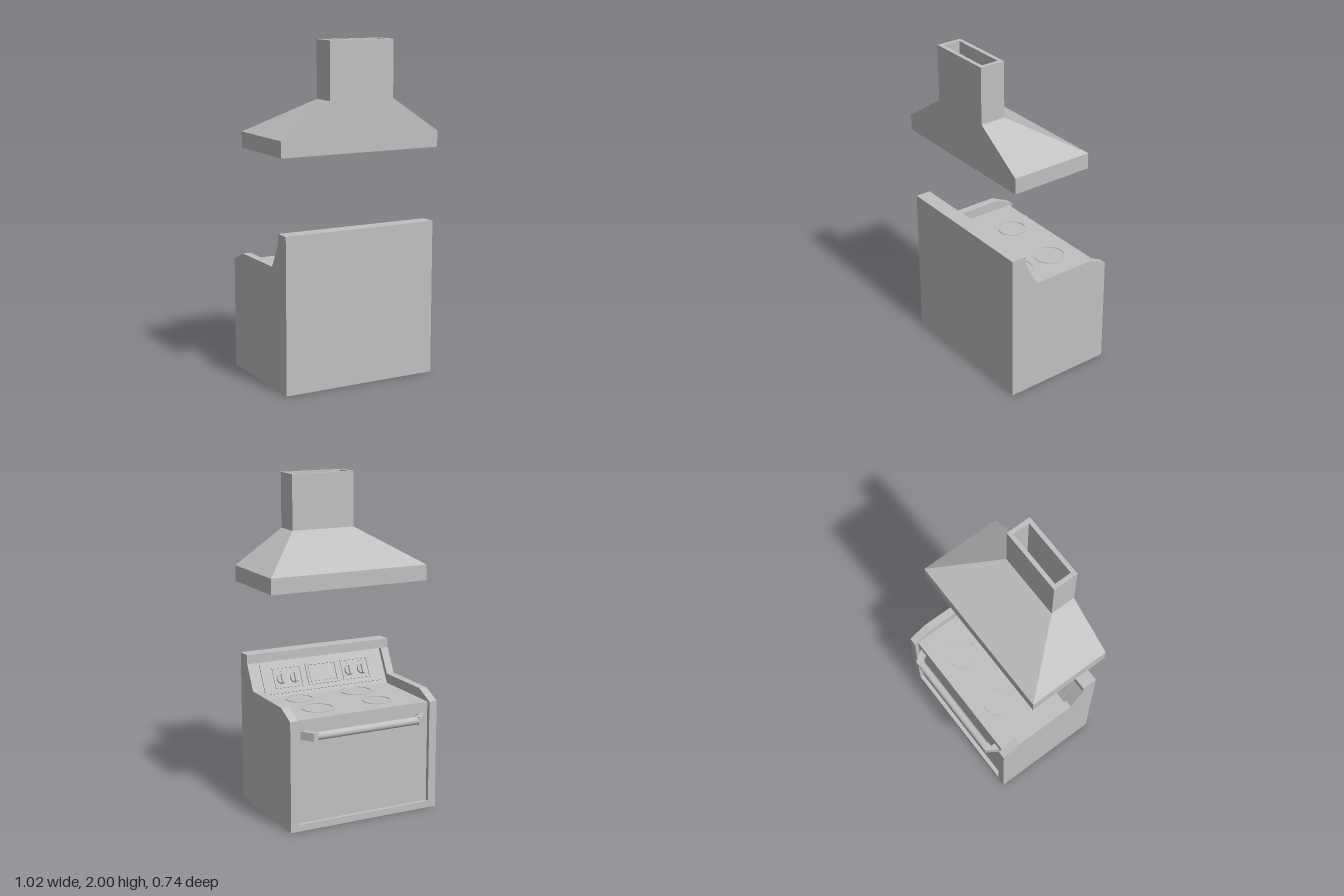
import * as THREE from 'three';

const steel = new THREE.MeshStandardMaterial({ color: 0xc0c0c0 });
steel.name = 'brushed steel grey';

function add(parent, name, geometry, x = 0, y = 0, z = 0) {
  const mesh = new THREE.Mesh(geometry, steel);
  mesh.name = name;
  mesh.position.set(x, y, z);
  parent.add(mesh);
  return mesh;
}

const shapeOf = (points) => new THREE.Shape(points.map(([a, b]) => new THREE.Vector2(a, b)));
const box = (w, h, d) => new THREE.BoxGeometry(w, h, d);

// Extrude a (z, y) outline sideways between two x positions
function sideways(points, x0, x1) {
  const g = new THREE.ExtrudeGeometry(shapeOf(points), { depth: x1 - x0, bevelEnabled: false });
  return g.rotateY(-Math.PI / 2).translate(x1, 0, 0);
}

// Flat rectangular frame facing +z
function frame(w, h, border, depth) {
  const rect = (a, b) => [[-a, -b], [a, -b], [a, b], [-a, b]];
  const s = shapeOf(rect(w / 2, h / 2));
  s.holes.push(new THREE.Path(shapeOf(rect(w / 2 - border, h / 2 - border)).getPoints()));
  return new THREE.ExtrudeGeometry(s, { depth, bevelEnabled: false });
}

// Skin through rectangular sections [y, x half width, back z, front z]
function loft(sections) {
  const pos = [];
  const ring = ([y, w, zb, zf]) => [[-w, y, zb], [w, y, zb], [w, y, zf], [-w, y, zf]];
  for (let s = 0; s < sections.length - 1; s++) {
    const a = ring(sections[s]), b = ring(sections[s + 1]);
    for (let i = 0; i < 4; i++) {
      const j = (i + 1) % 4;
      pos.push(...a[i], ...a[j], ...b[j], ...a[i], ...b[j], ...b[i]);
    }
  }
  const g = new THREE.BufferGeometry();
  g.setAttribute('position', new THREE.Float32BufferAttribute(pos, 3));
  g.computeVertexNormals();
  return g;
}

function buildRange() {
  const range = new THREE.Group();
  range.name = 'range';

  // Carcass with cooktop, sloped console and bottom rail
  add(range, 'carcass', sideways([
    [0.37, 0], [0.37, 0.87], [0.305, 0.87], [0.193, 0.66], [-0.287, 0.66],
    [-0.287, 0.04], [-0.32, 0.04], [-0.32, 0],
  ], -0.435, 0.435));
  add(range, 'ovenDoor', box(0.87, 0.62, 0.008), 0, 0.35, -0.291);
  add(range, 'backGuardCap', box(0.97, 0.055, 0.095), 0, 0.8975, 0.3225);

  // Side panels
  const side = [[0.37, 0], [0.37, 0.87], [0.275, 0.87], [0.195, 0.72],
    [-0.2, 0.72], [-0.32, 0.665], [-0.32, 0]];
  add(range, 'leftPanel', sideways(side, 0.435, 0.485));
  add(range, 'rightPanel', sideways(side, -0.485, -0.435));

  // Burner rings
  for (const [x, z, r] of [[-0.18, -0.13, 0.0875], [0.21, -0.115, 0.096],
    [0.215, 0.115, 0.086], [-0.17, 0.11, 0.096]]) {
    const ring = new THREE.Shape().absarc(0, 0, r, 0, Math.PI * 2);
    ring.holes.push(new THREE.Path().absarc(0, 0, r - 0.007, 0, Math.PI * 2, true));
    const g = new THREE.ExtrudeGeometry(ring, { depth: 0.004, bevelEnabled: false, curveSegments: 32 });
    add(range, 'burnerRing', g.rotateX(-Math.PI / 2), x, 0.66, z);
  }

  // Handle bar and its angled brackets
  add(range, 'doorHandle', new THREE.CylinderGeometry(0.024, 0.024, 0.67, 32).rotateZ(Math.PI / 2), 0, 0.57, -0.346);
  for (const s of [-1, 1]) {
    const outline = [[0.41, 0.295], [0.36, 0.37], [0.333, 0.37], [0.333, 0.322], [0.36, 0.322], [0.36, 0.295]];
    const g = new THREE.ExtrudeGeometry(shapeOf(outline.map(([x, z]) => [s * x, z])), { depth: 0.05, bevelEnabled: false });
    add(range, 'handleBracket', g.rotateX(-Math.PI / 2), 0, 0.545, 0);
  }

  // Control console, lying on the sloped back guard
  const panel = new THREE.Group();
  panel.name = 'controlPanel';
  panel.position.set(0, 0.765, 0.249);
  panel.rotation.set(-Math.atan2(0.112, 0.21), Math.PI, 0, 'YXZ');
  range.add(panel);
  add(panel, 'consolePlate', box(0.8, 0.19, 0.008), 0, 0, 0.004);
  add(panel, 'displayFrame', frame(0.21, 0.135, 0.012, 0.008), 0, 0, 0.008);
  add(panel, 'display', box(0.17, 0.095, 0.004), 0, 0, 0.01);
  for (const s of [-1, 1]) {
    add(panel, 'knobPlateFrame', frame(0.19, 0.13, 0.008, 0.006), s * 0.232, 0, 0.008);
    for (const d of [-0.044, 0.044]) {
      const x = s * 0.232 + d;
      add(panel, 'knob', new THREE.CylinderGeometry(0.03, 0.032, 0.01, 24).rotateX(Math.PI / 2), x, -0.008, 0.013);
      add(panel, 'knobGrip', box(0.012, 0.056, 0.014), x, -0.008, 0.024);
      add(panel, 'knobMark', box(0.014, 0.01, 0.004), x, 0.042, 0.01);
    }
  }
  return range;
}

function buildHood() {
  const hood = new THREE.Group();
  hood.name = 'rangeHood';

  // Shell: recessed underside, rim, slope, then hollow chimney
  add(hood, 'hoodShell', loft([
    [1.42, 0, 0.115, 0.115], [1.42, 0.475, 0.335, -0.105],
    [1.385, 0.475, 0.335, -0.105], [1.385, 0.49, 0.35, -0.12], [1.365, 0.49, 0.35, -0.12],
    [1.365, 0.51, 0.37, -0.14], [1.46, 0.51, 0.37, -0.14],
    [1.665, 0.205, 0.37, 0.215], [2, 0.205, 0.37, 0.215],
    [2, 0.18, 0.345, 0.24], [1.6, 0.18, 0.345, 0.24], [1.6, 0, 0.29, 0.29],
  ]));

  // Two filters with slats running front to back
  for (const s of [-1, 1]) {
    const cx = s * 0.2345;
    add(hood, 'filterFrame', frame(0.455, 0.43, 0.02, 0.03).rotateX(Math.PI / 2), cx, 1.42, 0.115);
    for (let i = 0; i < 11; i++) {
      add(hood, 'filterSlat', box(0.022, 0.012, 0.392), cx + (i - 5) * 0.0375, 1.4, 0.115);
    }
  }
  return hood;
}

export function createModel() {
  const model = new THREE.Group();
  model.name = 'kitchenRangeWithHood';
  model.add(buildRange(), buildHood());
  return model;
}
